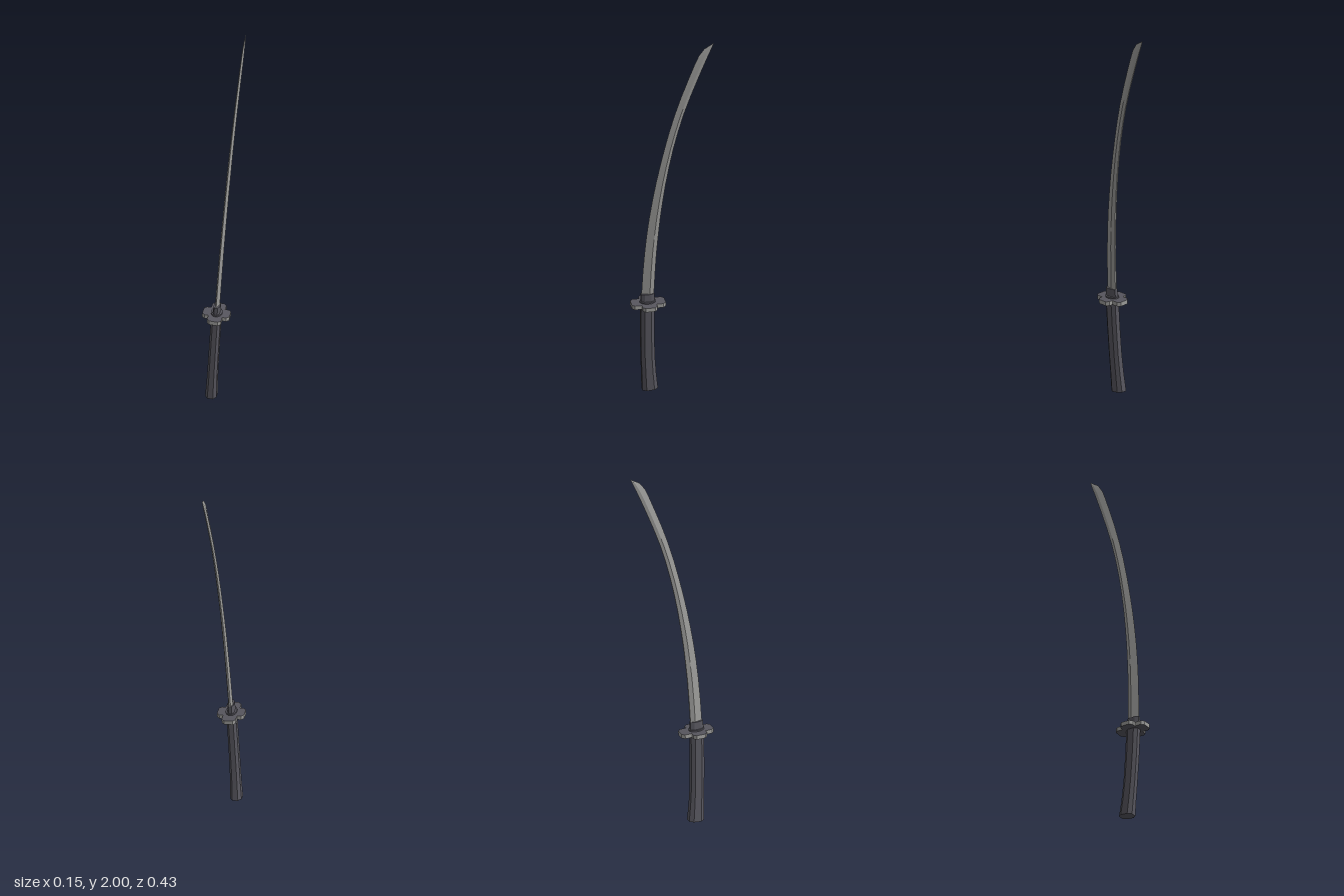
import * as THREE from 'three';
import { toCreasedNormals } from 'three/addons/utils/BufferGeometryUtils.js';

const steel = new THREE.MeshStandardMaterial({ color: 0x9c9c9a });
steel.name = 'steel';
const darkGrey = new THREE.MeshStandardMaterial({ color: 0x57565e });
darkGrey.name = 'dark grey';

// Skins a stack of rings (counter-clockwise from x towards z) and caps both ends.
function loft(rings, crease) {
  const n = rings[0].length;
  const index = [];
  for (let i = 0; i < rings.length - 1; i++) {
    for (let j = 0; j < n; j++) {
      const a = i * n + j, b = i * n + (j + 1) % n;
      index.push(a, a + n, b, b, a + n, b + n);
    }
  }
  const top = (rings.length - 1) * n;
  for (let j = 1; j < n - 1; j++) {
    index.push(0, j, j + 1, top, top + j + 1, top + j);
  }
  const geo = new THREE.BufferGeometry();
  geo.setAttribute('position', new THREE.Float32BufferAttribute(rings.flat(2), 3));
  geo.setIndex(index);
  return toCreasedNormals(geo, crease);
}

// Chamfered eight-sided ring, tipped along the curve by slope.
const octagon = [[1, 0.5], [0.5, 1], [-0.5, 1], [-1, 0.5], [-1, -0.5], [-0.5, -1], [0.5, -1], [1, -0.5]];
const octRing = ([y, z, halfX, halfZ, slope]) =>
  octagon.map(([u, v]) => [u * halfX, y - slope * v * halfZ, z + v * halfZ]);

// Blade ring: cutting edge at +z, ridge on each side, narrow spine at the back.
function bladeRing([y, edge, back, half]) {
  const ridge = back + (edge - back) * 0.36;
  const spine = half * 0.35;
  return [[0, y, edge], [-half, y, ridge], [-spine, y, back], [spine, y, back], [half, y, ridge]];
}

// Cross-shaped outline with chamfered arm ends.
function guardShape() {
  const lx = 0.07, lz = 0.088, wx = 0.036, wz = 0.038, c = 0.014;
  const quarter = [[lx, wz - c], [lx - c, wz], [wx, wz], [wx, lz - c], [wx - c, lz]];
  const mirrored = quarter.slice().reverse();
  const pts = [
    ...quarter,
    ...mirrored.map(([x, y]) => [-x, y]),
    ...quarter.map(([x, y]) => [-x, -y]),
    ...mirrored.map(([x, y]) => [x, -y]),
  ];
  return new THREE.Shape(pts.map(([x, y]) => new THREE.Vector2(x, y)));
}

export function createModel() {
  const model = new THREE.Group();
  model.name = 'sword';
  model.rotation.y = THREE.MathUtils.degToRad(17);
  const leaning = new THREE.Group();
  leaning.name = 'leaningSword';
  leaning.rotation.z = -0.059;
  leaning.position.x = -0.068;
  model.add(leaning);

  const add = (name, geo, material) => {
    const mesh = new THREE.Mesh(geo, material);
    mesh.name = name;
    leaning.add(mesh);
    return mesh;
  };

  // Blade: height, edge z, back z, half thickness
  const blade = [
    [0.54, 0.157, 0.093, 0.012], [0.68, 0.151, 0.088, 0.012], [0.8, 0.143, 0.082, 0.0115],
    [0.9, 0.134, 0.074, 0.011], [1.0, 0.122, 0.065, 0.011], [1.1, 0.107, 0.053, 0.0105],
    [1.2, 0.09, 0.039, 0.01], [1.3, 0.07, 0.022, 0.01], [1.4, 0.048, 0.002, 0.0095],
    [1.5, 0.024, -0.022, 0.009], [1.6, -0.004, -0.05, 0.0085], [1.7, -0.036, -0.084, 0.008],
    [1.8, -0.072, -0.121, 0.0075], [1.88, -0.102, -0.152, 0.007], [1.93, -0.123, -0.172, 0.006],
    [1.97, -0.151, -0.189, 0.004], [2.001, -0.201, -0.2015, 0.0003],
  ];
  add('blade', loft(blade.map(bladeRing), 0.35), steel);

  // Handle: height, centre z, half thickness, half width, slope
  const handle = [
    [0.005, 0.107, 0.029, 0.04, 0.08], [0.1, 0.114, 0.026, 0.0365, 0.07],
    [0.2, 0.12, 0.025, 0.035, 0.045], [0.35, 0.124, 0.0245, 0.035, 0.015],
    [0.5, 0.125, 0.0245, 0.035, 0],
  ];
  add('handle', loft(handle.map(octRing), 0.4), darkGrey);

  // Guard: dark faces with a bare steel rim
  const guardGeo = new THREE.ExtrudeGeometry(guardShape(), { depth: 0.022, bevelEnabled: false });
  guardGeo.rotateX(-Math.PI / 2);
  add('guard', guardGeo, [darkGrey, steel]).position.set(0, 0.492, 0.122);

  // Oval washer on top of the guard
  const washerGeo = new THREE.CylinderGeometry(1, 1, 0.008, 16);
  washerGeo.scale(0.029, 1, 0.041);
  add('washer', toCreasedNormals(washerGeo, 0.6), darkGrey).position.set(0, 0.517, 0.124);

  // Collar around the root of the blade
  const collar = [[0.512, 0.125, 0.018, 0.035, 0], [0.562, 0.125, 0.016, 0.034, 0]];
  add('collar', loft(collar.map(octRing), 0.4), darkGrey);

  return model;
}
